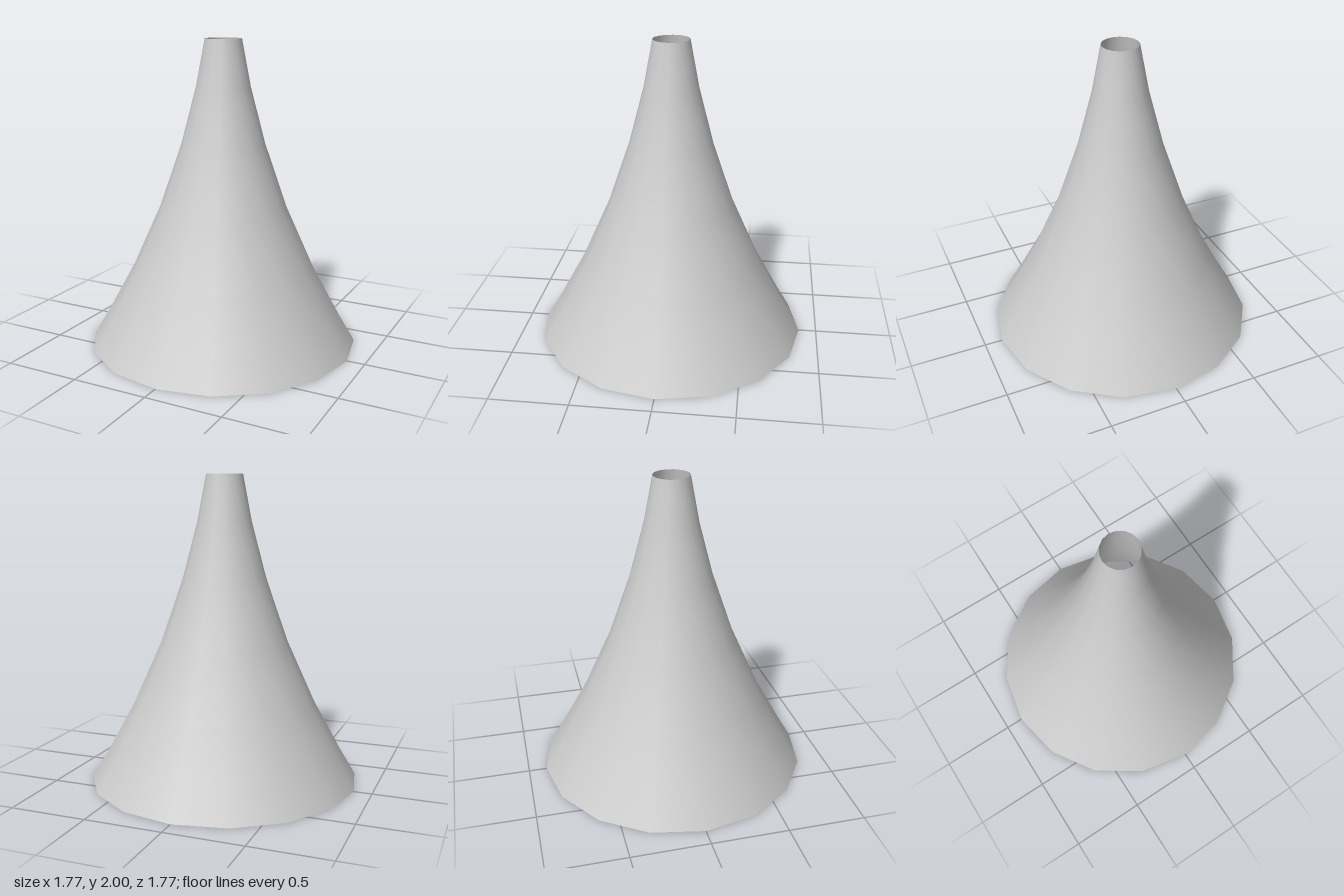
import * as THREE from 'three';

export function createModel() {
  const group = new THREE.Group();
  group.name = 'flaredCone';

  // Flared profile from the wide foot to the narrow mouth: radius, height
  const profile = [
    [0.883, 0], [0.777, 0.18], [0.6, 0.505], [0.414, 0.92],
    [0.271, 1.335], [0.175, 1.7], [0.118, 2],
  ].map(([r, y]) => new THREE.Vector2(r, y));

  // Thin 16-sided shell, open at both ends
  const shell = new THREE.Mesh(
    new THREE.LatheGeometry(profile, 16),
    new THREE.MeshStandardMaterial({ color: 0xcccccc, side: THREE.DoubleSide }),
  );
  shell.name = 'shell';
  group.add(shell);

  return group;
}
